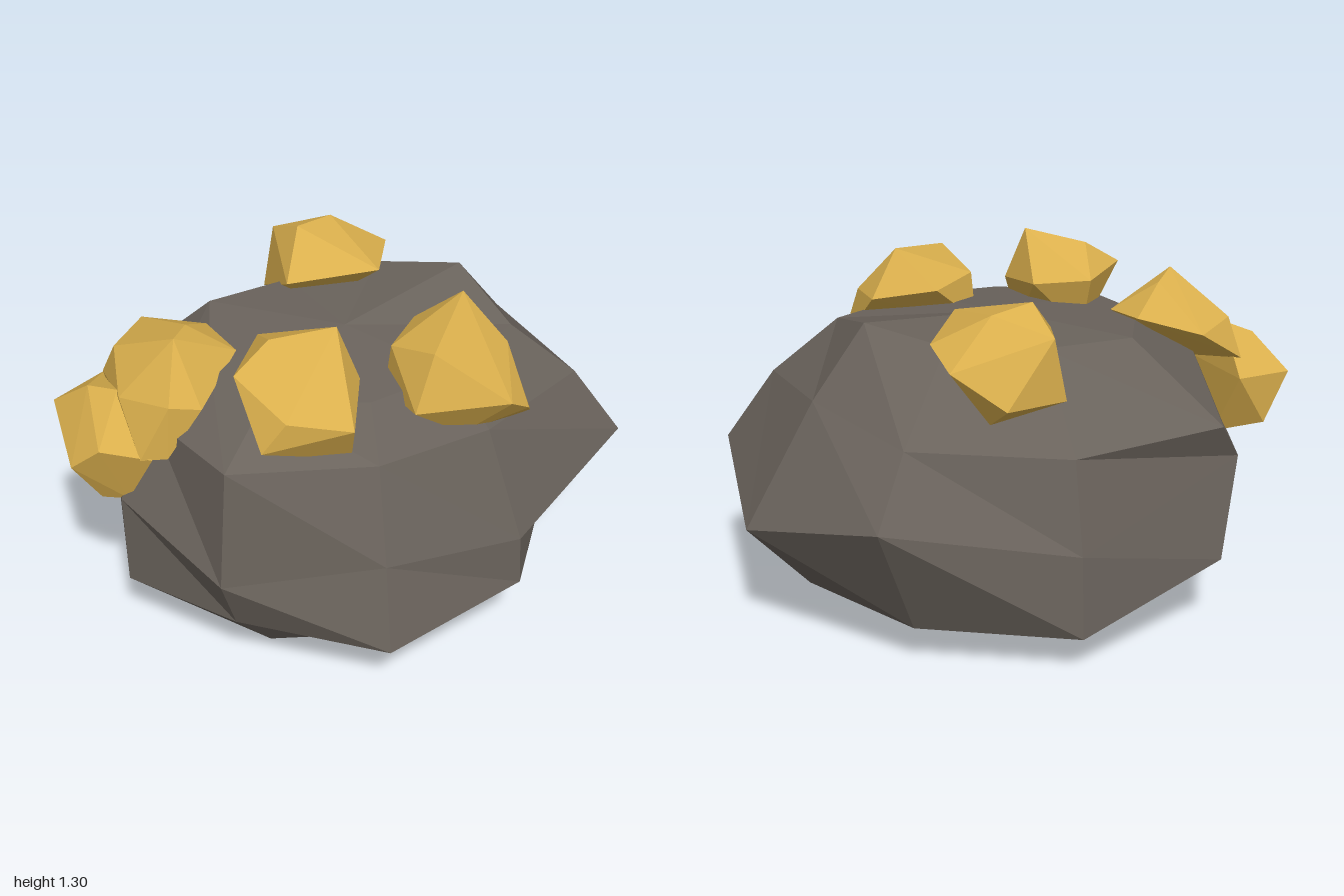
import * as THREE from 'three';
import { ConvexGeometry } from 'three/addons/geometries/ConvexGeometry.js';

const stone = new THREE.MeshStandardMaterial({ color: 0x6a635c, flatShading: true });
stone.name = 'stone grey';
const gold = new THREE.MeshStandardMaterial({ color: 0xdbb04d, flatShading: true });
gold.name = 'ore gold';

// Faceted lump: columns of [radius, y, optional twist] points, bottom to top, closed by two poles.
function lump(columns, bottom, top) {
  const out = [];
  const rings = columns[0].profile.length;
  const point = (c, r) => {
    const { angle, profile } = columns[c % columns.length];
    const [radius, y, twist = 0] = profile[r];
    const a = THREE.MathUtils.degToRad(angle + twist);
    return [radius * Math.cos(a), y, radius * Math.sin(a)];
  };
  for (let c = 0; c < columns.length; c++) {
    for (let r = 0; r < rings - 1; r++) {
      const right = point(c, r), left = point(c + 1, r);
      const rightUp = point(c, r + 1), leftUp = point(c + 1, r + 1);
      out.push(...left, ...right, ...leftUp, ...right, ...rightUp, ...leftUp);
    }
    out.push(...point(c, 0), ...point(c + 1, 0), ...bottom);
    out.push(...point(c + 1, rings - 1), ...point(c, rings - 1), ...top);
  }
  const geo = new THREE.BufferGeometry();
  geo.setAttribute('position', new THREE.Float32BufferAttribute(out, 3));
  geo.computeVertexNormals();
  return geo;
}

// Boulder columns, going round from the left front corner
const boulder = [
  { angle: 27, profile: [[0.45, 0, 10], [0.79, 0.345, -4], [1.03, 0.585], [0.845, 0.85], [0.6, 1.06]] },
  { angle: 66, profile: [[0.47, 0.03], [0.77, 0.28], [0.76, 0.47], [0.61, 0.88], [0.46, 1.06]] },
  { angle: 109, profile: [[0.48, 0.06], [0.77, 0.225], [0.69, 0.54], [0.57, 0.88], [0.44, 1.05]] },
  { angle: 153, profile: [[0.5, 0], [0.71, 0.24], [0.79, 0.45], [0.74, 0.9], [0.5, 1.05]] },
  { angle: 186, profile: [[0.5, 0.01], [0.85, 0.24], [0.855, 0.6], [0.72, 0.9], [0.5, 1.06]] },
  { angle: 222, profile: [[0.42, 0.03], [0.85, 0.3, 5], [0.86, 0.65, -4], [0.83, 0.8, 4], [0.5, 1.09, 8]] },
  { angle: 270, profile: [[0.4, 0.05], [0.73, 0.155], [0.71, 0.46], [0.64, 0.79], [0.37, 1.09]] },
  { angle: 319, profile: [[0.45, 0.05], [0.68, 0.16], [0.9, 0.61], [0.72, 0.84], [0.43, 1.11]] },
  { angle: 354, profile: [[0.55, 0.11], [0.78, 0.21], [1.005, 0.47], [0.74, 0.9], [0.54, 1.15]] },
];

// Angular chunk of ore spanned by a few corner points
function nugget(name, corners) {
  const points = corners.map((p) => new THREE.Vector3(...p));
  const mesh = new THREE.Mesh(new ConvexGeometry(points), gold);
  mesh.name = name;
  return mesh;
}

export function createModel() {
  const group = new THREE.Group();
  group.name = 'goldOreRock';

  const rock = new THREE.Mesh(lump(boulder, [0, 0, 0], [0, 1.1, 0.02]), stone);
  rock.name = 'boulder';
  group.add(rock);

  // Ore on the front edge
  group.add(nugget('frontLeftNugget', [
    [0.3, 1.285, 0.3], [0.05, 1.22, 0.5], [0.01, 1.16, 0.3], [0.19, 1.15, 0.17],
    [0.41, 1.12, 0.25], [0.41, 1.11, 0.42], [0.45, 0.87, 0.52], [0.28, 1.02, 0.635],
    [0.38, 0.95, 0.6], [-0.04, 1.03, 0.53], [0.18, 0.86, 0.5], [0, 0.98, 0.28],
  ]));
  group.add(nugget('frontRightNugget', [
    [-0.205, 1.305, 0.3], [-0.345, 1.17, 0.015], [-0.16, 1.15, 0.11], [-0.145, 1.11, 0.35],
    [-0.24, 0.88, 0.45], [-0.28, 1.05, 0.535], [-0.54, 0.96, 0.375], [-0.54, 1.17, 0.2],
    [-0.4, 1.26, 0.19], [-0.47, 1.08, 0.42], [-0.35, 0.95, 0.1],
  ]));

  // Ore on the back edge
  group.add(nugget('backNugget', [
    [0.06, 1.275, -0.405], [0.22, 1.26, -0.44], [0.05, 1.2, -0.57], [0.23, 0.98, -0.605],
    [0, 0.97, -0.56], [0.39, 1.1, -0.5], [0.4, 1.15, -0.34], [0.23, 1.18, -0.12],
    [-0.06, 1.13, -0.28], [0.25, 0.9, -0.5], [0.1, 0.91, -0.42],
  ]));

  // Two overlapping chunks on the right side
  group.add(nugget('lowerSideNugget', [
    [-1, 0.755, -0.15], [-0.945, 0.88, -0.39], [-0.87, 0.995, -0.25], [-0.805, 1.01, -0.15],
    [-0.895, 0.59, -0.15], [-0.825, 0.6, -0.08], [-0.78, 0.82, 0.04], [-0.72, 0.9, -0.44],
    [-0.85, 0.7, -0.4], [-0.93, 0.85, -0.06], [-0.7, 0.65, -0.3],
  ]));
  group.add(nugget('upperSideNugget', [
    [-0.63, 1.21, -0.05], [-0.54, 1.19, -0.14], [-0.74, 1.085, -0.3], [-0.815, 1, -0.12],
    [-0.815, 0.82, 0.02], [-0.73, 0.82, 0.06], [-0.72, 1.03, 0.07], [-0.61, 1, 0.095],
    [-0.39, 1.08, -0.06], [-0.41, 1.1, -0.24], [-0.57, 1.08, -0.43], [-0.76, 0.95, -0.37],
  ]));
  return group;
}
